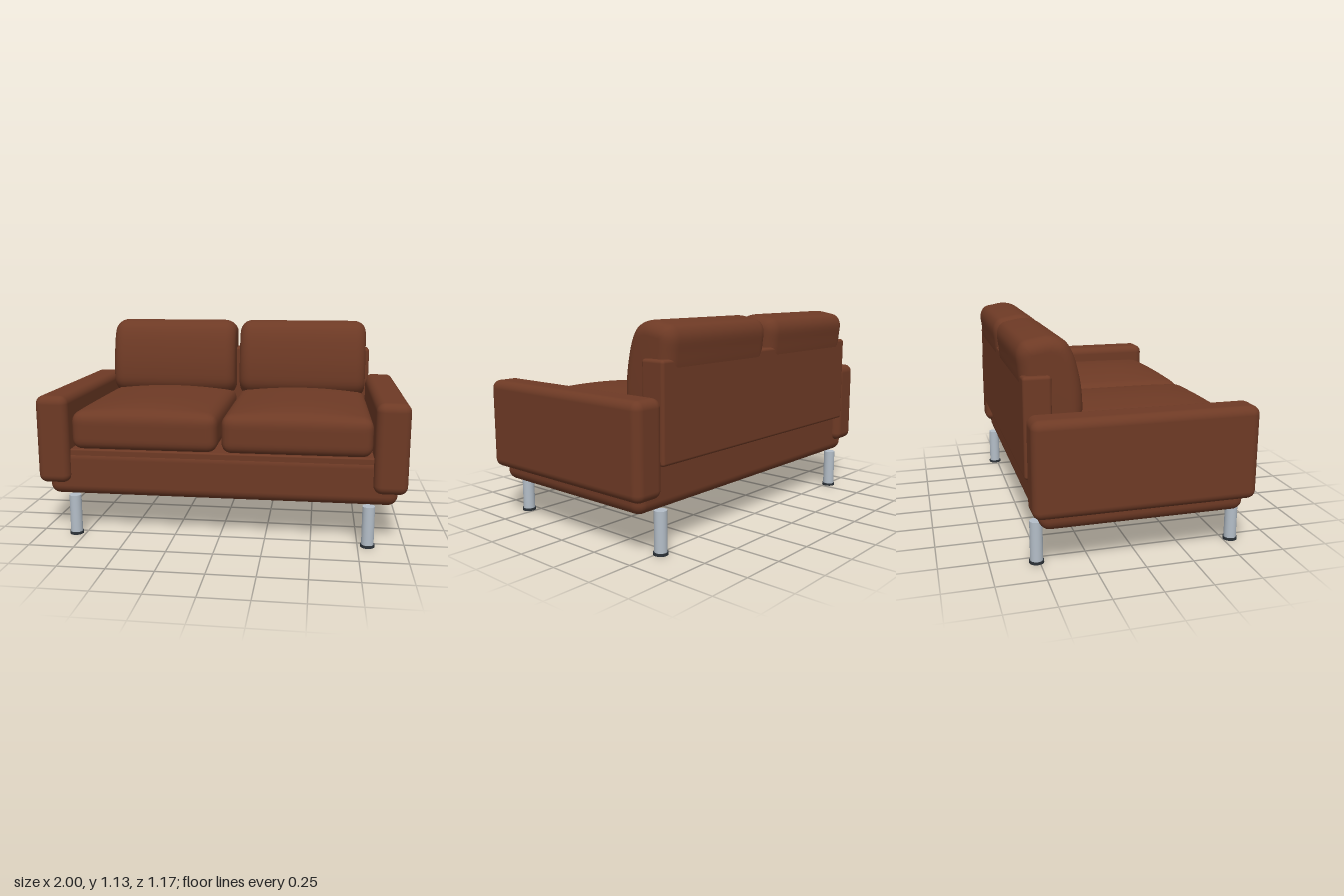
import * as THREE from 'three';
import { mergeVertices, toCreasedNormals } from 'three/addons/utils/BufferGeometryUtils.js';
import { RoundedBoxGeometry } from 'three/addons/geometries/RoundedBoxGeometry.js';

const leather = new THREE.MeshStandardMaterial({ color: 0x6e3a25 });
leather.name = 'brown leather';
const steel = new THREE.MeshStandardMaterial({ color: 0xb4bec8 });
steel.name = 'brushed steel';
const rubber = new THREE.MeshStandardMaterial({ color: 0x2c3238 });
rubber.name = 'dark rubber';

function add(group, name, geometry, material, x, y, z) {
  const mesh = new THREE.Mesh(geometry, material);
  mesh.name = name;
  mesh.position.set(x, y, z);
  group.add(mesh);
  return mesh;
}

// Rounded box given by its limits on each axis
function block(group, name, [x0, x1], [y0, y1], [z0, z1], radius) {
  const geometry = new RoundedBoxGeometry(x1 - x0, y1 - y0, z1 - z0, 5, radius);
  add(group, name, geometry, leather, (x0 + x1) / 2, (y0 + y1) / 2, (z0 + z1) / 2);
}

// Finely divided rounded box whose top swells towards the middle
function crownedCushion(w, h, d, r, crown) {
  const geometry = new THREE.BoxGeometry(w, h, d, 32, 12, 36);
  geometry.deleteAttribute('uv');
  geometry.deleteAttribute('normal');
  const half = new THREE.Vector3(w / 2, h / 2, d / 2);
  const core = half.clone().subScalar(r);
  const low = core.clone().negate();
  const p = new THREE.Vector3(), inner = new THREE.Vector3();
  const pos = geometry.attributes.position;
  for (let i = 0; i < pos.count; i++) {
    p.fromBufferAttribute(pos, i);
    inner.copy(p).clamp(low, core);
    p.sub(inner).setLength(r).add(inner);
    const swell = (1 - (p.x / half.x) ** 2) * (1 - (p.z / half.z) ** 4);
    p.y += crown * swell * Math.max(0, p.y / half.y);
    pos.setXYZ(i, p.x, p.y, p.z);
  }
  const smooth = mergeVertices(geometry, 1e-5);
  smooth.computeVertexNormals();
  return smooth;
}

// Side profile of a back cushion swept across its width with soft ends
function backCushion(width, soft) {
  const points = [
    [0.27, 0.72], [0.262, 0.82], [0.28, 0.95], [0.312, 1.055], [0.35, 1.108], [0.42, 1.132],
    [0.5, 1.122], [0.556, 1.106], [0.582, 1.06], [0.577, 0.98], [0.566, 0.89],
    [0.53, 0.76], [0.46, 0.66], [0.34, 0.655],
  ].map(([z, y]) => new THREE.Vector3(z, y, 0));
  const curve = new THREE.CatmullRomCurve3(points, true);
  const outline = curve.getPoints(56).slice(0, -1).map((p) => new THREE.Vector2(p.x, p.y));
  const geometry = new THREE.ExtrudeGeometry(new THREE.Shape(outline), {
    depth: width - 2 * soft, bevelThickness: soft, bevelSize: soft * 0.9,
    bevelOffset: -soft * 0.9, bevelSegments: 8, steps: 1,
  });
  geometry.translate(0, 0, soft - width / 2);
  geometry.rotateY(Math.PI / 2);
  return toCreasedNormals(geometry, 0.7);
}

export function createModel() {
  const sofa = new THREE.Group();
  sofa.name = 'sofa';

  // Frame
  block(sofa, 'base', [-0.955, 0.955], [0.22, 0.48], [-0.52, 0.54], 0.055);
  block(sofa, 'seatDeck', [-0.83, 0.83], [0.4, 0.482], [-0.52, 0.535], 0.008);
  block(sofa, 'backPanel', [-0.84, 0.84], [0.45, 0.955], [-0.57, -0.43], 0.016);

  const seat = crownedCushion(0.805, 0.21, 0.98, 0.055, 0.04);
  const back = backCushion(0.797, 0.075);
  const leg = new THREE.CylinderGeometry(0.033, 0.033, 0.213, 24);
  const foot = new THREE.CylinderGeometry(0.038, 0.038, 0.014, 24);

  for (const side of [-1, 1]) {
    const label = side > 0 ? 'left' : 'right';
    block(sofa, label + 'Arm', side > 0 ? [0.822, 1] : [-1, -0.822], [0.295, 0.78], [-0.56, 0.585], 0.045);
    add(sofa, label + 'SeatCushion', seat, leather, side * 0.414, 0.584, 0.06);
    add(sofa, label + 'BackCushion', back, leather, side * 0.413, 0, 0);

    // Legs with rubber feet
    for (const [place, z] of [['Front', 0.541], ['Back', -0.515]]) {
      add(sofa, label + place + 'Leg', leg, steel, side * 0.803, 0.1185, z);
      add(sofa, label + place + 'Foot', foot, rubber, side * 0.803, 0.007, z);
    }
  }
  return sofa;
}
